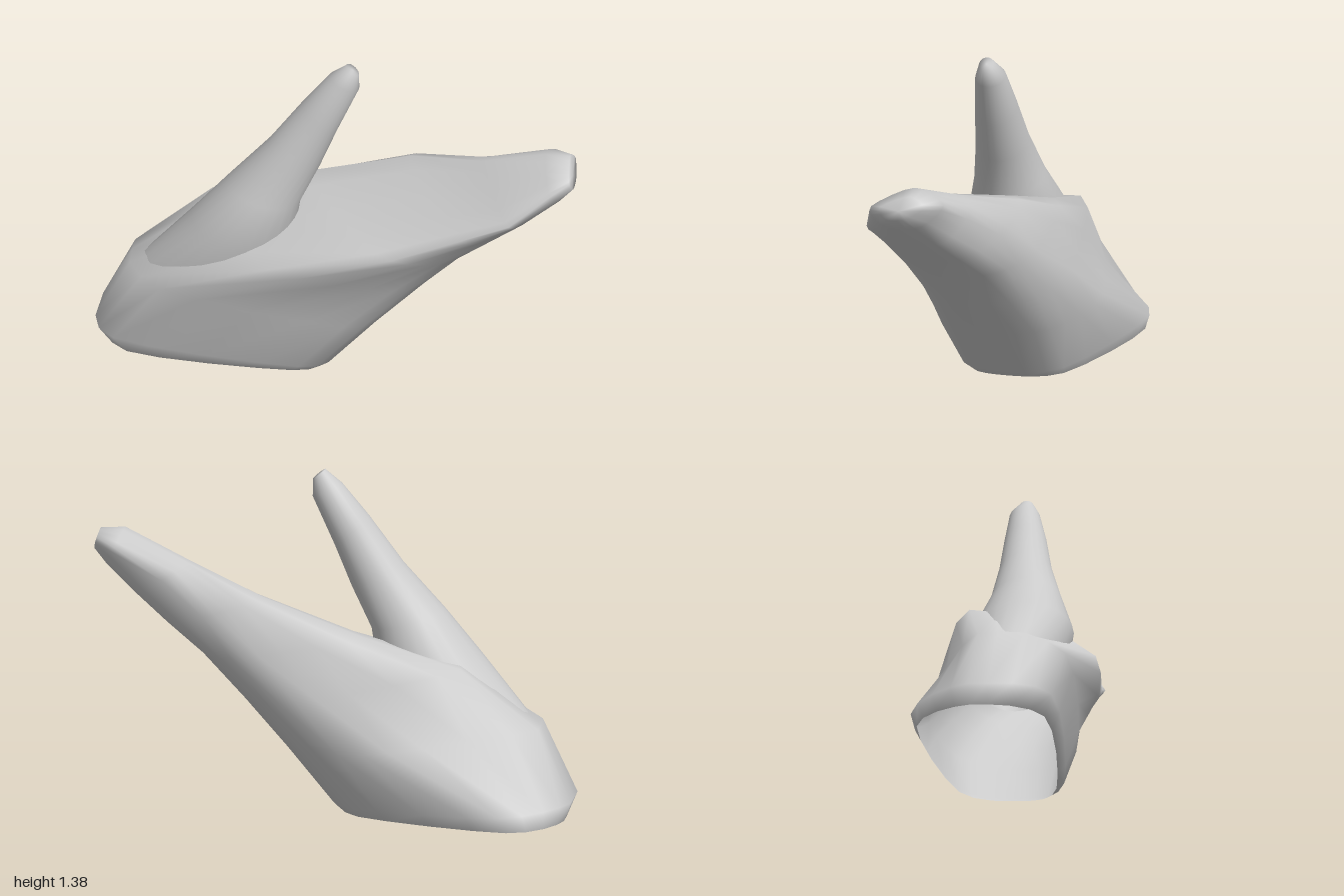
import * as THREE from 'three';

const SIDES = 24;

// Skin a list of rings (arrays of SIDES points) and close the far end with a fan
function loft(name, rings, material) {
  const index = [];
  const points = rings.flat();
  for (let i = 0; i < rings.length - 1; i++) {
    for (let j = 0; j < SIDES; j++) {
      const a = i * SIDES + j, b = i * SIDES + ((j + 1) % SIDES);
      index.push(a, b, b + SIDES, a, b + SIDES, a + SIDES);
    }
  }
  const end = rings[rings.length - 1];
  const tip = new THREE.Vector3();
  end.forEach((p) => tip.addScaledVector(p, 1 / SIDES));
  const last = points.length - SIDES;
  for (let j = 0; j < SIDES; j++) index.push(last + j, last + ((j + 1) % SIDES), points.length);
  points.push(tip);

  const geometry = new THREE.BufferGeometry().setFromPoints(points);
  geometry.setIndex(index);
  geometry.computeVertexNormals();
  const mesh = new THREE.Mesh(geometry, material);
  mesh.name = name;
  return mesh;
}

// Palm section: a closed curve through the upper edge, front crease, lower front,
// lower edge, lower back and back ridge; t runs from the lower to the upper edge
function palmRing([lx, ly, ux, uy, zUp, tFront, zFront, zLowFront, zLow, zLowBack, tBack, zBack]) {
  const corners = [[1, zUp], [tFront, zFront], [0.13, zLowFront], [0, zLow], [0.1, zLowBack], [tBack, zBack]];
  const curve = new THREE.CatmullRomCurve3(
    corners.map(([t, z]) => new THREE.Vector3(t, 0, z)), true, 'catmullrom', 0.42);
  return Array.from({ length: SIDES }, (_, j) => {
    const p = curve.getPoint(j / SIDES);
    const t = THREE.MathUtils.clamp(p.x, 0, 1);
    return new THREE.Vector3(lx + (ux - lx) * t, ly + (uy - ly) * t, p.z);
  });
}

// Thumb section: an ellipse between an inner and an outer edge point
function thumbRing([ix, iy, ox, oy, zFront, zBack]) {
  return Array.from({ length: SIDES }, (_, j) => {
    const a = (j / SIDES) * Math.PI * 2;
    const t = (1 + Math.cos(a)) / 2;
    return new THREE.Vector3(
      ix + (ox - ix) * t, iy + (oy - iy) * t,
      (zFront + zBack) / 2 + (Math.sin(a) * (zFront - zBack)) / 2);
  });
}

export function createModel() {
  const group = new THREE.Group();
  group.name = 'mitten';
  const material = new THREE.MeshStandardMaterial({ color: 0xcccccc, side: THREE.DoubleSide });

  // Palm and fingers, open at the wrist
  group.add(loft('palm', [
    [-0.04, 0.0, -0.97, 0.0, -0.13, 0.87, 0.17, 0.205, 0.07, -0.19, 0.78, -0.35],
    [0.0, 0.03, -1.0, 0.08, -0.14, 0.9, 0.2, 0.235, 0.07, -0.2, 0.74, -0.375],
    [0.2, 0.25, -0.86, 0.37, -0.1, 0.85, 0.25, 0.28, 0.07, -0.2, 0.45, -0.315],
    [0.38, 0.43, -0.55, 0.62, -0.14, 0.66, 0.365, 0.29, 0.1, -0.14, 0.38, -0.262],
    [0.55, 0.6, -0.15, 0.74, -0.14, 0.49, 0.355, 0.31, 0.13, -0.08, 0.4, -0.195],
    [0.7, 0.72, 0.27, 0.88, -0.09, 0.42, 0.352, 0.32, 0.17, -0.02, 0.55, -0.13],
    [0.82, 0.82, 0.6, 0.98, 0.07, 0.36, 0.372, 0.33, 0.2, 0.04, 0.7, -0.025],
    [0.95, 0.93, 0.87, 1.085, 0.15, 0.48, 0.32, 0.29, 0.22, 0.1, 0.65, 0.02],
    [1.0, 0.98, 0.97, 1.08, 0.14, 0.5, 0.26, 0.25, 0.22, 0.15, 0.6, 0.08],
  ].map(palmRing), material));

  // Thumb, flaring into the palm
  group.add(loft('thumb', [
    [-0.3, 0.28, -0.8, 0.4, 0.22, -0.14],
    [-0.18, 0.54, -0.6, 0.63, 0.28, -0.13],
    [-0.15, 0.73, -0.45, 0.81, 0.23, -0.06],
    [-0.07, 0.9, -0.28, 1.0, 0.19, -0.03],
    [0.0, 1.07, -0.14, 1.19, 0.165, -0.01],
    [0.09, 1.27, -0.03, 1.325, 0.135, 0.01],
    [0.09, 1.34, 0.04, 1.38, 0.11, 0.05],
  ].map(thumbRing), material));

  return group;
}
